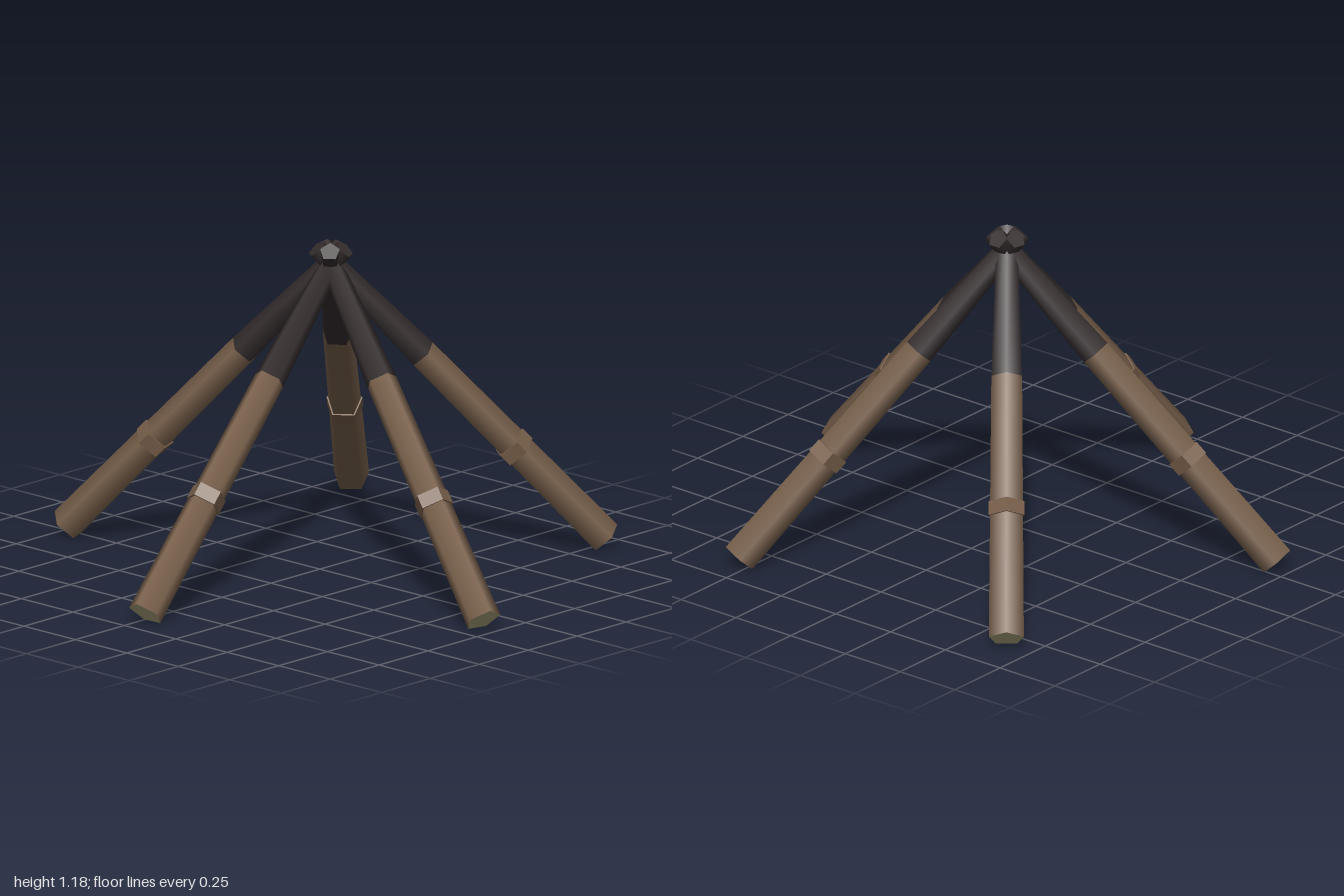
import * as THREE from 'three';

export function createModel() {
  const model = new THREE.Group();
  model.name = 'stackedLogs';

  const mat = (name, color, flatShading = false) => {
    const m = new THREE.MeshStandardMaterial({ color, flatShading });
    m.name = name;
    return m;
  };
  const bark = mat('bark', 0x7a614c);
  const knot = mat('knotBark', 0x785f4a, true);
  const char = mat('charredWood', 0x352d2e);
  const endGrain = mat('endGrain', 0xb0a780);

  // The logs cross here and poke out a little beyond
  const crossing = new THREE.Vector3(-0.022, 1.1, -0.08);
  const feet = [
    ['frontLog', 0.035, 0.93],
    ['leftLog', 0.955, 0.17],
    ['rightLog', -0.952, 0.29],
    ['backLeftLog', 0.53, -0.895],
    ['backRightLog', -0.655, -0.85],
  ];
  const footY = 0.037, footR = 0.065, charR = 0.057, tipR = 0.037, tip = 0.078;

  // Five-sided section along the log axis, between two heights
  function section(name, y0, y1, r0, r1, materials) {
    const geo = new THREE.CylinderGeometry(r1, r0, y1 - y0, 5);
    const mesh = new THREE.Mesh(geo, materials);
    mesh.position.y = (y0 + y1) / 2;
    mesh.name = name;
    return mesh;
  }

  for (const [name, x, z] of feet) {
    const dx = x - crossing.x, dz = z - crossing.z, drop = crossing.y - footY;
    const reach = Math.hypot(dx, dz);
    const length = Math.hypot(reach, drop);
    const charStart = -0.33 * length;

    const log = new THREE.Group();
    log.name = name;
    log.position.copy(crossing);
    // Ridge of the pentagon faces up and outward
    log.rotation.order = 'YXZ';
    log.rotation.y = Math.atan2(dx, dz);
    log.rotation.x = -Math.atan2(reach, drop);

    // Bark shaft with a pale cut end
    log.add(section('shaft', -length, charStart, footR, charR, [bark, char, endGrain]));
    // Charred, tapering top
    log.add(section('charredTop', charStart, tip, charR, tipR, char));
    // Raised growth ring
    const ringY = -0.67 * length;
    log.add(section('growthRing', ringY - 0.026, ringY + 0.026, 0.067, 0.067, knot));
    model.add(log);
  }
  return model;
}
